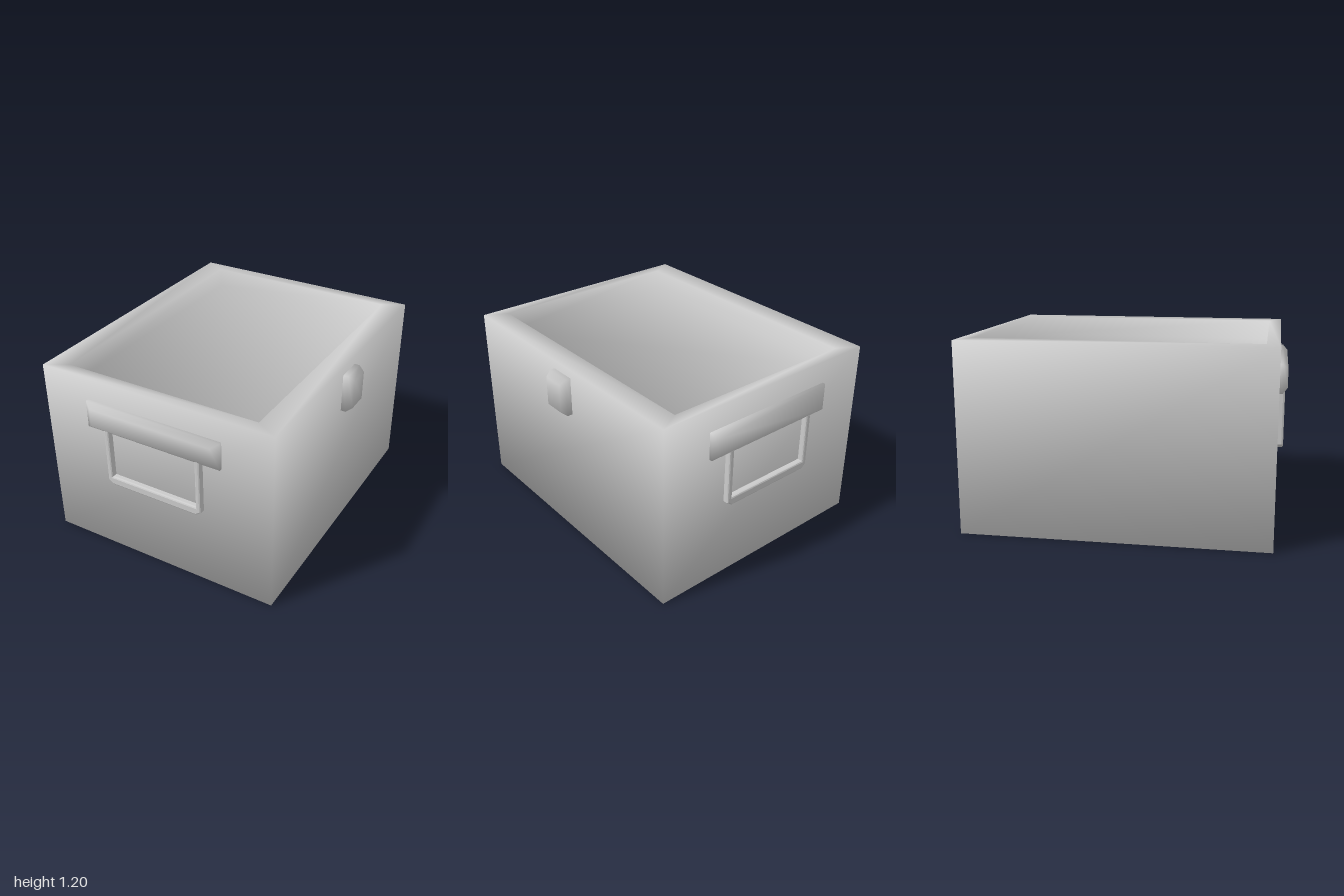
import * as THREE from 'three';

const grey = new THREE.MeshStandardMaterial({ color: 0xcccccc });

function mesh(name, geometry) {
  const m = new THREE.Mesh(geometry, grey);
  m.name = name;
  return m;
}

// Smooth shell through rectangular rings stacked along +z, capped at both ends.
// Ring: [half width, half height, z, outward normal weight, axial normal weight]
function stackedRings(rings) {
  const corners = [[-1, -1], [1, -1], [1, 1], [-1, 1]];
  const pos = [], nor = [], idx = [];
  for (const [w, h, z, side, axial] of rings) {
    for (const [sx, sy] of corners) {
      pos.push(sx * w, sy * h, z);
      nor.push(...new THREE.Vector3(sx * side, sy * side, axial).normalize().toArray());
    }
  }
  for (let r = 0; r < rings.length - 1; r++) {
    for (let i = 0; i < 4; i++) {
      const a = r * 4 + i, b = r * 4 + (i + 1) % 4;
      idx.push(a, b, b + 4, a, b + 4, a + 4);
    }
  }
  const t = (rings.length - 1) * 4;
  idx.push(0, 2, 1, 0, 3, 2, t, t + 1, t + 3, t + 1, t + 2, t + 3);
  const g = new THREE.BufferGeometry();
  g.setAttribute('position', new THREE.Float32BufferAttribute(pos, 3));
  g.setAttribute('normal', new THREE.Float32BufferAttribute(nor, 3));
  g.setIndex(idx);
  return g;
}

// Block with its front face (+z) chamfered inwards
function chamferedPad(w, h, depth, cx, cy, cz) {
  return stackedRings([
    [w / 2, h / 2, 0, 1, 0],
    [w / 2, h / 2, depth - cz, 1, 0.5],
    [w / 2 - cx, h / 2 - cy, depth, 0.5, 1],
  ]);
}

// U-shaped pull hanging below the mounting bar
function pullLoop() {
  const w = 0.333, inner = 0.298, top = 0.9, bottom = 0.51, c = 0.025;
  const points = [
    [-w, top], [-w, bottom + c], [-w + c * 1.3, bottom], [w - c * 1.3, bottom], [w, bottom + c], [w, top],
    [inner, top], [inner, 0.567], [-inner, 0.567], [-inner, top],
  ];
  const shape = new THREE.Shape(points.map(([x, y]) => new THREE.Vector2(x, y)));
  return new THREE.ExtrudeGeometry(shape, {
    depth: 0.035, bevelThickness: 0.012, bevelSize: 0.01, bevelOffset: -0.01, bevelSegments: 2,
  });
}

function makeHandle(name) {
  const handle = new THREE.Group();
  handle.name = name;
  const bar = mesh('handleBar', chamferedPad(0.916, 0.176, 0.055, 0.045, 0.03, 0.03));
  bar.position.set(0, 0.963, 0.945);
  const loop = mesh('handleLoop', pullLoop());
  loop.position.z = 0.94;
  handle.add(bar, loop);
  return handle;
}

export function createModel() {
  const model = new THREE.Group();
  model.name = 'box';

  // Body: outer walls, flat rim and recessed top floor
  const body = mesh('body', stackedRings([
    [0.785, 0.95, 0, 1, -1],
    [0.785, 0.95, 1.195, 1, 2],
    [0.643, 0.87, 1.195, -1, 2],
    [0.643, 0.87, 1.065, -1, 1],
  ]));
  body.rotation.x = -Math.PI / 2;
  body.position.x = -0.035;
  model.add(body);

  // Matching handles on the front and back
  const front = makeHandle('frontHandle');
  const back = makeHandle('backHandle');
  back.rotation.y = Math.PI;
  front.position.x = back.position.x = -0.037;
  model.add(front, back);

  // Clasp on the left wall
  const clasp = mesh('clasp', chamferedPad(0.17, 0.244, 0.075, 0.015, 0.03, 0.037));
  clasp.rotation.y = Math.PI / 2;
  clasp.position.set(0.745, 1.017, 0);
  model.add(clasp);

  return model;
}
